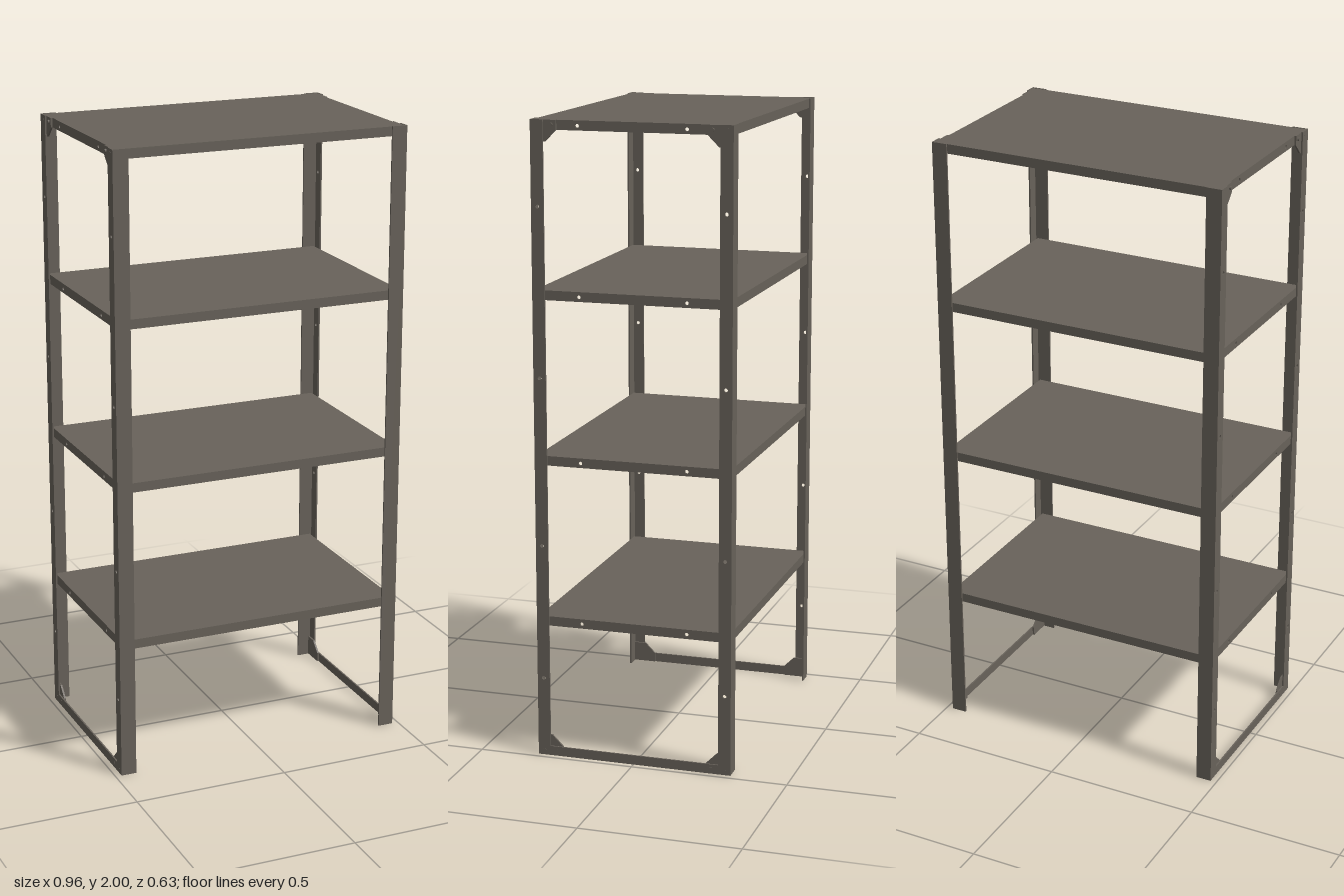
import * as THREE from 'three';

const X = 0.48, Z = 0.315, H = 2, T = 0.005;   // outer half width, half depth, height, sheet thickness
const SX = 0.469, SZ = 0.31, SH = 0.03;        // shelf half width, half depth, rim height
const SHELF_TOPS = [1.999, 1.485, 0.97, 0.455];
const HOLE_Y = [1.74, 1.215, 0.685, 0.255];
const HOLE_R = 0.006;

export function createModel() {
  const model = new THREE.Group();
  const steel = new THREE.MeshStandardMaterial({ color: 0x68625a });
  steel.name = 'grey brown steel';

  function add(parent, name, geometry, x, y, z) {
    const mesh = new THREE.Mesh(geometry, steel);
    mesh.name = name;
    mesh.position.set(x, y, z);
    parent.add(mesh);
    return mesh;
  }
  const box = (parent, name, w, h, d, x, y, z) =>
    add(parent, name, new THREE.BoxGeometry(w, h, d), x, y, z);

  // Flat plate in the z-y plane whose outer face lies at side * outerX
  function sidePlate(parent, name, points, holes, side, outerX, thick) {
    const shape = new THREE.Shape(points.map(([z, y]) => new THREE.Vector2(z, y)));
    for (const [z, y] of holes) {
      shape.holes.push(new THREE.Path().absarc(z, y, HOLE_R, 0, Math.PI * 2, true));
    }
    const geometry = new THREE.ExtrudeGeometry(shape, { depth: thick, bevelEnabled: false, curveSegments: 6 });
    geometry.rotateY(-Math.PI / 2);
    add(parent, name, geometry, side > 0 ? outerX : -outerX + thick, 0, 0);
  }
  const rect = (z0, y0, z1, y1) => [[z0, y0], [z1, y0], [z1, y1], [z0, y1]];

  // Shelves: folded trays, open underneath
  for (const top of SHELF_TOPS) {
    const shelf = new THREE.Group();
    shelf.name = 'shelf';
    model.add(shelf);
    box(shelf, 'shelfPanel', SX * 2, T, SZ * 2, 0, top - T / 2, 0);
    for (const s of [1, -1]) {
      box(shelf, 'shelfLongRim', SX * 2, SH - T, T, 0, top - (SH + T) / 2, s * (SZ - T / 2));
      const mid = top - SH / 2 - 0.001;
      sidePlate(shelf, 'shelfSideRim', rect(-SZ + T, top - SH, SZ - T, top - T),
        [[-0.17, mid], [0.17, mid]], s, SX, T);
    }
  }

  for (const sx of [1, -1]) {
    const frame = new THREE.Group();
    frame.name = sx > 0 ? 'leftFrame' : 'rightFrame';
    model.add(frame);

    // Flat rail joining the feet
    box(frame, 'footRail', T, SH, 0.55, sx * (X - T / 2), SH / 2, 0);

    for (const sz of [1, -1]) {
      // Angle-section upright: broad front flange and drilled side flange
      box(frame, 'uprightFlange', 0.05, H, T, sx * (X - 0.025), H / 2, sz * (Z - T / 2));
      const z0 = Math.min(sz * 0.275, sz * (Z - T)), z1 = Math.max(sz * 0.275, sz * (Z - T));
      sidePlate(frame, 'uprightSide', rect(z0, 0, z1, H),
        HOLE_Y.map(y => [sz * 0.295, y]), sx, X, T);

      // Chamfered corner gussets at foot and head, with bolts
      for (const up of [false, true]) {
        const fy = y => (up ? H - 0.001 - y : y + 0.001);
        const outline = [[0.31, 0], [0.235, 0], [0.235, 0.03], [0.27, 0.065], [0.31, 0.065]];
        sidePlate(frame, 'cornerGusset', outline.map(([z, y]) => [sz * z, fy(y)]), [], sx, X - T, 0.006);
        for (const z of [0.25, 0.295]) {
          const bolt = new THREE.CylinderGeometry(0.006, 0.006, 0.011, 8);
          bolt.rotateZ(Math.PI / 2);
          add(frame, 'bolt', bolt, sx * (X - 0.005), fy(0.014), sz * z);
        }
      }
    }
  }
  return model;
}
